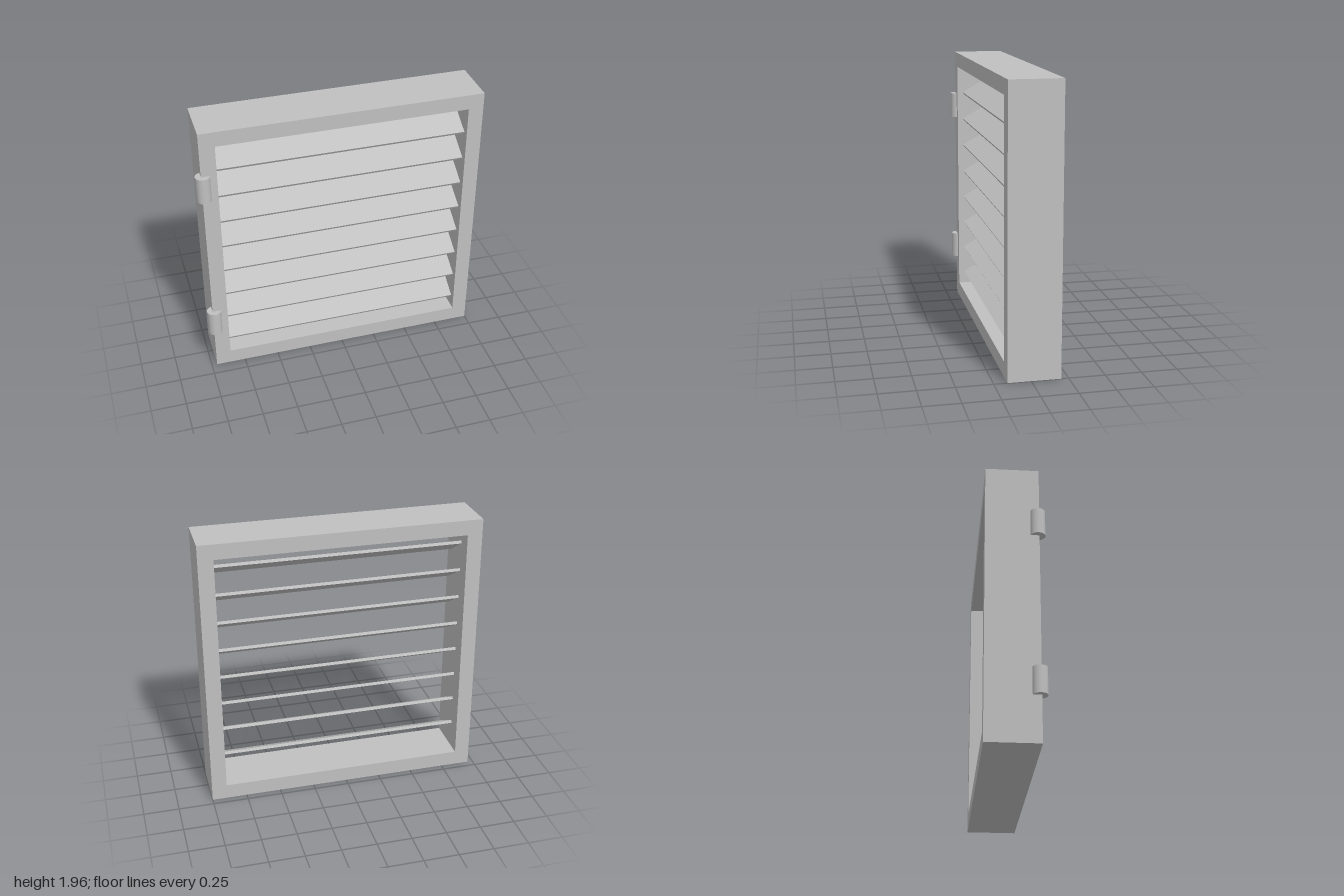
import * as THREE from 'three';

export function createModel() {
  const model = new THREE.Group();
  model.name = 'louveredShutter';
  const grey = new THREE.MeshStandardMaterial({ color: 0xc0c0c0 });
  grey.name = 'light grey';

  const add = (name, geometry, x, y, z) => {
    const mesh = new THREE.Mesh(geometry, grey);
    mesh.name = name;
    mesh.position.set(x, y, z);
    model.add(mesh);
    return mesh;
  };

  // Square frame with a square opening
  const size = 1.962, border = 0.107, depth = 0.36;
  const centreX = 0.019, inner = size - 2 * border;
  const square = (Base, s) => {
    const h = s / 2;
    return new Base([
      new THREE.Vector2(-h, -h), new THREE.Vector2(h, -h),
      new THREE.Vector2(h, h), new THREE.Vector2(-h, h),
    ]);
  };
  const outline = square(THREE.Shape, size);
  outline.holes.push(square(THREE.Path, inner));
  add('frame', new THREE.ExtrudeGeometry(outline, { depth, bevelEnabled: false }),
    centreX, size / 2, -0.2);

  // Eight slats, sloping down towards the front
  const slatGeometry = new THREE.BoxGeometry(inner, 0.021, 0.237);
  for (let i = 0; i < 8; i++) {
    const slat = add(`slat${i + 1}`, slatGeometry, centreX, 0.253 + i * 0.2076, 0.011);
    slat.rotation.x = Math.PI / 6;
  }

  // Two hinge barrels on the front corner of the right stile
  const hingeGeometry = new THREE.CylinderGeometry(0.05, 0.05, 0.187, 40);
  add('lowerHinge', hingeGeometry, -0.95, 0.411, 0.15);
  add('upperHinge', hingeGeometry, -0.95, 1.548, 0.15);

  return model;
}
